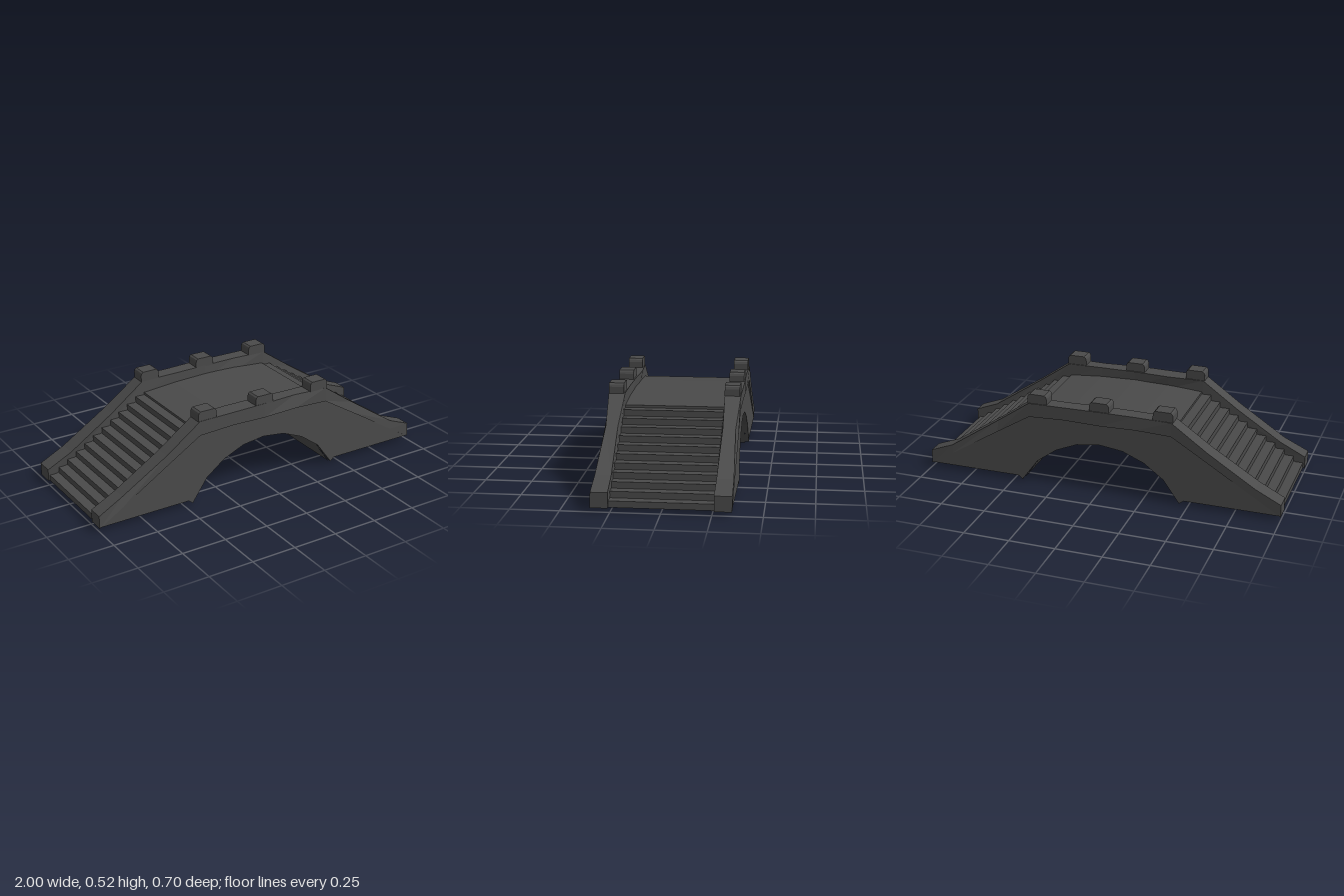
import * as THREE from 'three';

const stone = new THREE.MeshStandardMaterial({ color: 0x4a4a4a, side: THREE.DoubleSide });
stone.name = 'dark stone';

// Joins rows of equally many points into a faceted surface
function loft(rows, name) {
  const pos = [];
  for (let i = 0; i < rows.length - 1; i++) {
    for (let j = 0; j < rows[i].length - 1; j++) {
      const a = rows[i][j], b = rows[i + 1][j], c = rows[i + 1][j + 1], d = rows[i][j + 1];
      pos.push(...a, ...b, ...c, ...a, ...c, ...d);
    }
  }
  const geo = new THREE.BufferGeometry();
  geo.setAttribute('position', new THREE.Float32BufferAttribute(pos, 3));
  geo.computeVertexNormals();
  const mesh = new THREE.Mesh(geo, stone);
  mesh.name = name;
  return mesh;
}

// Sweeps an x-y profile across the width
const across = (pts, half, name) =>
  loft([half, -half].map(z => pts.map(([x, y]) => [x, y, z])), name);

// Extrudes an x-y outline towards the front
function slab(points, depth, name) {
  const shape = new THREE.Shape(points.map(p => new THREE.Vector2(...p)));
  const mesh = new THREE.Mesh(new THREE.ExtrudeGeometry(shape, { depth, bevelEnabled: false }), stone);
  mesh.name = name;
  return mesh;
}

// Underside of the arch, left foot to right foot
const halfArch = [[0.45, 0], [0.36, 0.13], [0.25, 0.21], [0.13, 0.26]];
const arch = [
  ...halfArch.map(([x, y]) => [-x, y]), [0, 0.277],
  ...halfArch.slice().reverse(),
];

// Parapet stations: x, bottom, top, then worn top edges (inner, outer z) at front and back
const stations = [
  [-1, 0.02, 0.09, [0.26, 0.347], [0.255, 0.35]],
  [-0.86, 0.106, 0.16, [0.258, 0.338], [0.253, 0.35]],
  [-0.6, 0.267, 0.325, [0.262, 0.347], [0.26, 0.35]],
  [-0.4, 0.389, 0.468, [0.262, 0.347], [0.267, 0.35]],
  [-0.2, 0.397, 0.47, [0.251, 0.347], [0.264, 0.345]],
  [0, 0.392, 0.472, [0.257, 0.347], [0.265, 0.35]],
  [0.2, 0.397, 0.47, [0.261, 0.334], [0.272, 0.35]],
  [0.4, 0.389, 0.468, [0.26, 0.347], [0.265, 0.35]],
  [0.59, 0.273, 0.335, [0.27, 0.333], [0.27, 0.336]],
  [0.87, 0.1, 0.15, [0.262, 0.345], [0.262, 0.348]],
  [1, 0.02, 0.1, [0.26, 0.347], [0.26, 0.35]],
];

function parapet(side) {
  const rows = stations.map(([x, lo, hi, front, back]) => {
    const [zi, zo] = side > 0 ? front : back;
    const ring = [[x, lo, 0.26], [x, lo, 0.349], [x, hi, zo], [x, hi, zi], [x, lo, 0.26]]
      .map(([px, py, pz]) => [px, py, pz * side]);
    return side > 0 ? ring : ring.reverse();
  });
  // Collapsed end rings close both ends
  const cap = ([x, lo, hi]) => Array(5).fill([x, (lo + hi) / 2, side * 0.305]);
  return loft([cap(stations[0]), ...rows, cap(stations[stations.length - 1])], 'parapet');
}

// Side wall with the arch cut out and pointed feet, leaning in slightly under the parapet
function sideWall(side) {
  const opening = arch.map(([x, y]) => [x, Math.max(y, 0.006)]);
  const wall = slab([
    [-0.99, 0.025], [-0.475, 0.025], ...opening, [0.475, 0.025], [0.99, 0.025],
    [0.4, 0.393], [-0.4, 0.393],
  ], 1, 'sideWall');
  const p = wall.geometry.attributes.position;
  for (let i = 0; i < p.count; i++) {
    const outer = (p.getZ(i) > 0.5) === (side > 0);
    p.setZ(i, side * (outer ? 0.348 - 0.03 * p.getY(i) : 0.325));
  }
  wall.geometry.computeVertexNormals();
  return wall;
}

// Capstone with rounded upper corners
function capstone(x, side) {
  const half = [[0.055, 0], [0.055, 0.036], [0.051, 0.048], [0.042, 0.055]];
  const cap = slab([...half, ...half.map(([px, y]) => [-px, y]).reverse()], 0.08, 'capstone');
  cap.position.set(x, 0.466, side * 0.305 - 0.04);
  return cap;
}

// Thin folded staircase, eleven treads
function stairs(side) {
  const start = side > 0 ? 0.983 : 0.99;
  const pts = [[start, 0.02]];
  for (let i = 0; i < 11; i++) {
    const x = start - 0.0541 * i, y = 0.02 + 0.0335 * (i + 1);
    pts.push([x, y], [x - 0.0541, y]);
  }
  pts.push([start - 0.5951, 0.402]);
  const path = pts.map(([x, y]) => [x * side, y]);
  return across(side > 0 ? path.reverse() : path, 0.268, 'stairs');
}

export function createModel() {
  const bridge = new THREE.Group();
  bridge.name = 'bridge';

  // Slightly cambered walkway
  bridge.add(across([[-0.395, 0.402], [-0.2, 0.417], [0, 0.423], [0.2, 0.417], [0.388, 0.402]], 0.27, 'deck'));

  // Arch vault between the two walls
  bridge.add(across(arch.slice().reverse(), 0.325, 'archVault'));

  for (const side of [1, -1]) {
    bridge.add(sideWall(side), parapet(side), stairs(side));
    for (const x of [-0.353, 0, 0.353]) bridge.add(capstone(x, side));
  }
  return bridge;
}
